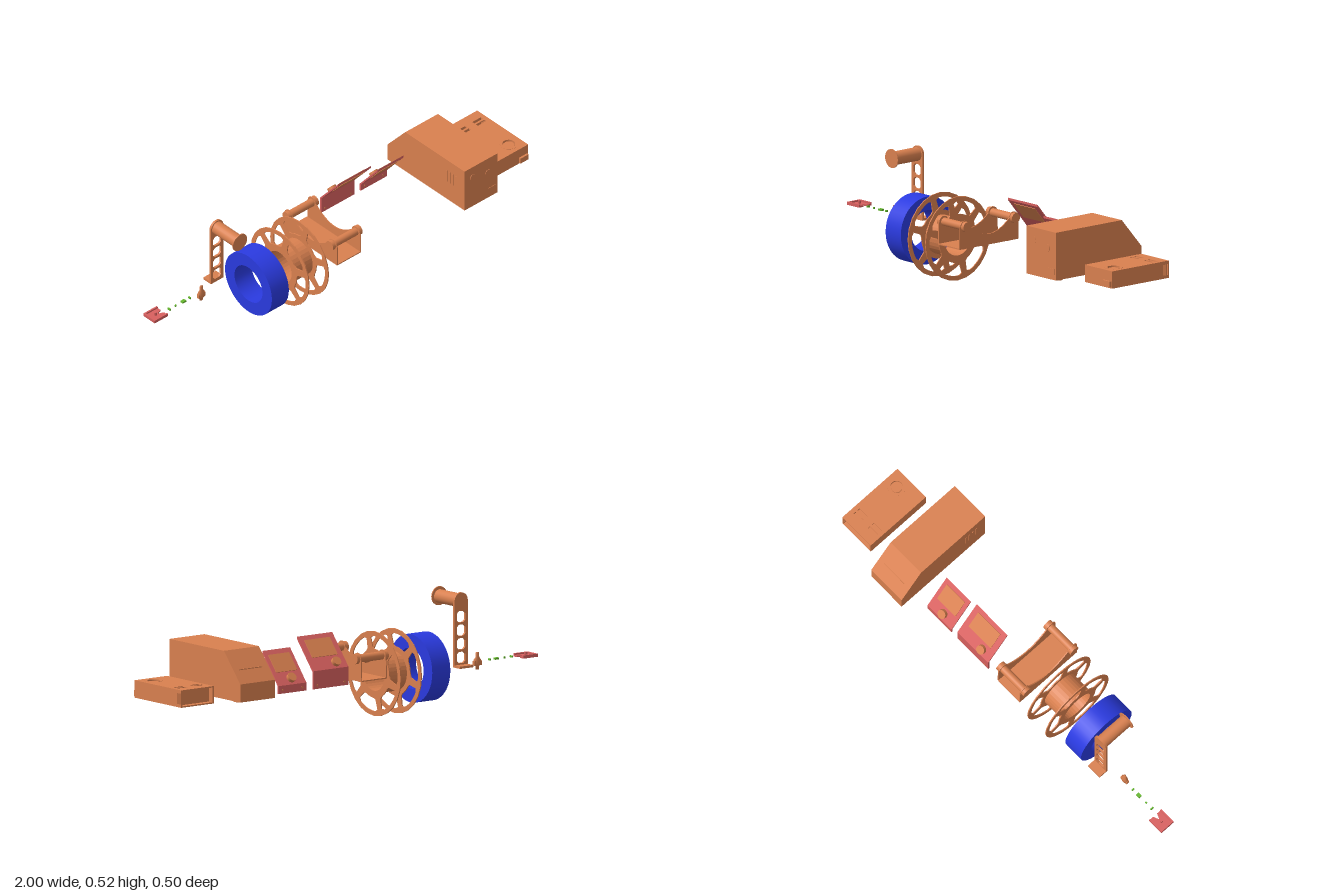
import * as THREE from 'three';

const paint = (c) => new THREE.MeshStandardMaterial({ color: c, side: THREE.DoubleSide });
const ORANGE = paint(0xd9804f), PINK = paint(0xd8605f), BLUE = paint(0x2a3ae0), GREEN = paint(0x66b82e);
const outline = (pts) => new THREE.Shape(pts.map(([a, b]) => new THREE.Vector2(a, b)));
const rect = (a, b, w, h) => outline([[a - w / 2, b - h / 2], [a + w / 2, b - h / 2], [a + w / 2, b + h / 2], [a - w / 2, b + h / 2]]);
const disc = (a, b, r) => new THREE.Shape().absarc(a, b, r, 0, Math.PI * 2);

export function createModel() {
  const root = new THREE.Group();
  const group = (name, parent = root) => { const g = new THREE.Group(); g.name = name; parent.add(g); return g; };
  const add = (parent, name, geo, mat, x = 0, y = 0, z = 0) => {
    const m = new THREE.Mesh(geo, mat);
    m.name = name; m.position.set(x, y, z); parent.add(m);
    return m;
  };
  const box = (p, name, mat, [x0, x1], [y0, y1], [z0, z1]) =>
    add(p, name, new THREE.BoxGeometry(x1 - x0, y1 - y0, z1 - z0), mat, (x0 + x1) / 2, (y0 + y1) / 2, (z0 + z1) / 2);
  const slab = (shape, depth) => new THREE.ExtrudeGeometry(shape, { depth, bevelEnabled: false, curveSegments: 16 });
  // profile drawn in (z, y), swept from x0 to x1
  const sideSlab = (p, name, mat, shape, x0, x1) => add(p, name, slab(shape, x1 - x0).rotateY(-Math.PI / 2), mat, x1);
  // plan drawn in (x, z), swept from y0 to y1
  const flatSlab = (p, name, mat, shape, y0, y1) => add(p, name, slab(shape, y1 - y0).rotateX(Math.PI / 2), mat, 0, y1);
  const rod = (p, name, mat, axis, r, len, x, y, z, n = 24) => {
    const g = new THREE.CylinderGeometry(r, r, len, n);
    if (axis === 'x') g.rotateZ(Math.PI / 2);
    if (axis === 'z') g.rotateX(Math.PI / 2);
    return add(p, name, g, mat, x, y, z);
  };
  const holed = (shape, holes) => { shape.holes.push(...holes); return shape; };

  // low case with fan opening, vents and recessed back
  const low = group('lowCase');
  const vents = [];
  for (const x of [0.858, 0.95]) for (const z of [-0.118, -0.095]) vents.push(rect(x, z, 0.05, 0.013));
  flatSlab(low, 'lowCaseTop', ORANGE, holed(rect(0.906, -0.007, 0.18, 0.328), [disc(0.937, 0.097, 0.034), ...vents]), 0.259, 0.265);
  flatSlab(low, 'fanRing', ORANGE, holed(disc(0.937, 0.097, 0.04), [disc(0.937, 0.097, 0.028)]), 0.255, 0.266);
  rod(low, 'fanHub', ORANGE, 'y', 0.024, 0.006, 0.937, 0.257, 0.097);
  const slots = [0, 1, 2].map((i) => rect(-0.144 - i * 0.0095, 0.226, 0.005, 0.048));
  sideSlab(low, 'ventedSide', ORANGE, holed(rect(-0.007, 0.226, 0.328, 0.076), slots), 0.99, 0.996);
  box(low, 'plainSide', ORANGE, [0.816, 0.822], [0.188, 0.264], [-0.171, 0.157]);
  box(low, 'lowCaseFloor', ORANGE, [0.82, 0.992], [0.188, 0.194], [-0.171, 0.155]);
  box(low, 'lowCaseFront', ORANGE, [0.82, 0.992], [0.188, 0.262], [0.151, 0.157]);
  box(low, 'recessedBack', ORANGE, [0.82, 0.992], [0.19, 0.262], [-0.145, -0.14]);
  box(low, 'frontPort', ORANGE, [0.942, 0.99], [0.193, 0.22], [0.155, 0.167]);

  // tall case with sloping back
  const tall = group('tallCase');
  sideSlab(tall, 'tallCaseBody', ORANGE, outline([[0.249, 0.193], [0.249, 0.406], [-0.133, 0.406], [-0.248, 0.273], [-0.248, 0.193]]), 0.537, 0.73);
  rod(tall, 'frontDial', ORANGE, 'z', 0.016, 0.004, 0.585, 0.35, 0.249);
  rod(tall, 'frontDial', ORANGE, 'z', 0.016, 0.004, 0.676, 0.33, 0.249);
  box(tall, 'frontSocket', ORANGE, [0.677, 0.72], [0.217, 0.243], [0.247, 0.251]);
  box(tall, 'rearSlot', ORANGE, [0.57, 0.7], [0.325, 0.33], [-0.202, -0.195]);
  for (let i = 0; i < 4; i++) box(tall, 'sideVent', ORANGE, [0.535, 0.54], [0.29, 0.35], [0.13 + i * 0.02, 0.138 + i * 0.02]);
  for (const x of [0.565, 0.705]) for (const z of [0.212, -0.198]) rod(tall, 'foot', ORANGE, 'y', 0.018, 0.006, x, 0.191, z);

  // bent control panels with screen and knob
  const panel = (name, x0, x1, top, bend, screenW, knobX) => {
    const g = group(name);
    sideSlab(g, name + 'Sheet', PINK, outline([[-0.055, top], [-0.17, bend], [-0.17, 0.19], [-0.163, 0.19],
      [-0.163, bend - 0.002], [-0.055, top - 0.01]]), x0, x1);
    const slope = group(name + 'Slope', g);
    slope.position.set((x0 + x1) / 2, (top + bend) / 2, -0.1125);
    slope.rotation.x = -Math.atan2(top - bend, 0.115);
    add(slope, 'screen', new THREE.BoxGeometry(screenW, 0.012, 0.09), ORANGE, 0, -0.003, 0.021);
    rod(slope, 'knob', ORANGE, 'y', 0.021, 0.016, knobX - (x0 + x1) / 2, 0.008, -0.06);
    for (const x of [x0 + 0.022, x1 - 0.022]) rod(g, 'screw', ORANGE, 'z', 0.005, 0.009, x, 0.206, -0.1665, 10);
  };
  panel('widePanel', 0.07, 0.265, 0.407, 0.27, 0.14, 0.128);
  panel('narrowPanel', 0.303, 0.456, 0.365, 0.225, 0.115, 0.375);

  // roller cradle
  const cradle = group('rollerCradle');
  const cheek = new THREE.Shape();
  cheek.moveTo(-0.176, 0.197);
  cheek.lineTo(0.166, 0.197);
  cheek.lineTo(0.166, 0.295);
  cheek.absarc(0.137, 0.294, 0.026, 0, Math.PI, false);
  cheek.quadraticCurveTo(-0.005, 0.19, -0.121, 0.294);
  cheek.absarc(-0.147, 0.294, 0.026, 0, Math.PI, false);
  cheek.lineTo(-0.176, 0.197);
  for (const x of [-0.138, -0.001]) sideSlab(cradle, 'cheek', ORANGE, cheek, x, x + 0.005);
  box(cradle, 'cradleFloor', ORANGE, [-0.138, 0.004], [0.195, 0.2], [-0.176, 0.166]);
  for (const z of [0.135, -0.146]) {
    rod(cradle, 'roller', ORANGE, 'x', 0.018, 0.14, -0.067, 0.294, z);
    for (const x of [-0.145, 0.011]) rod(cradle, 'rollerCap', ORANGE, 'x', 0.023, 0.018, x, 0.294, z);
    for (const x of [-0.105, -0.03]) rod(cradle, 'cradleFoot', ORANGE, 'y', 0.014, 0.009, x, 0.1925, z * 0.9, 16);
  }

  // spool: two windowed flanges on a hollow hub
  const spool = group('spool');
  const CY = 0.187, CZ = -0.004, D = Math.PI / 180;
  const polar = (r, a) => [CZ + r * Math.cos(a), CY + r * Math.sin(a)];
  const wheel = outline(Array.from({ length: 24 }, (_, i) => polar(0.187, i * 15 * D)));
  wheel.holes.push(disc(CZ, CY, 0.076));
  for (let k = 0; k < 6; k++) {
    const mid = (46 + k * 60) * D, pts = [];
    for (let i = -4; i <= 4; i++) pts.push(polar(Math.abs(i) === 4 ? 0.158 : 0.166, mid + i * 6.2 * D));
    for (let i = 3; i >= -3; i--) pts.push(polar(Math.abs(i) === 3 ? 0.115 : 0.108, mid + i * 7 * D));
    wheel.holes.push(outline(pts));
  }
  for (const x of [-0.32, -0.206]) sideSlab(spool, 'flange', ORANGE, wheel, x, x + 0.005);
  sideSlab(spool, 'hub', ORANGE, holed(disc(CZ, CY, 0.087), [disc(CZ, CY, 0.076)]), -0.317, -0.203);

  // coil of filament
  const v = (r, h) => new THREE.Vector2(r, h);
  const ring = [[0.09, -0.05], [0.151, -0.05], [0.151, -0.05], [0.151, 0.05], [0.151, 0.05], [0.09, 0.05], [0.09, 0.05], [0.09, -0.05]];
  add(root, 'filamentCoil', new THREE.LatheGeometry(ring.map(([r, h]) => v(r, h)), 40).rotateZ(Math.PI / 2), BLUE, -0.455, 0.188, CZ);

  // ladder arm with spool peg
  const arm = group('spoolArm');
  const post = new THREE.Shape();
  post.moveTo(-0.628, 0.19);
  post.lineTo(-0.555, 0.19);
  post.lineTo(-0.555, 0.485);
  post.absarc(-0.5915, 0.482, 0.0365, 0, Math.PI, false);
  for (let i = 0; i < 4; i++) {
    const y = 0.232 + i * 0.06, w = 0.024, h = 0.025, c = 0.011;
    post.holes.push(outline([[-w, -h + c], [-w + c, -h], [w - c, -h], [w, -h + c], [w, h - c], [w - c, h], [c - w, h], [-w, h - c]]
      .map(([a, b]) => [a - 0.5915, b + y])));
  }
  add(arm, 'ladderPost', slab(post, 0.01), ORANGE, 0, 0, -0.121);
  box(arm, 'armFoot', ORANGE, [-0.628, -0.555], [0.19, 0.2], [-0.16, -0.112]);
  rod(arm, 'peg', ORANGE, 'z', 0.03, 0.148, -0.5915, 0.482, -0.04);
  rod(arm, 'pegCap', ORANGE, 'z', 0.042, 0.005, -0.5915, 0.483, 0.034);

  // small filament guide
  const guide = group('filamentGuide');
  const gp = [[0, 0.162], [0.009, 0.162], [0.009, 0.178], [0.018, 0.18], [0.018, 0.205], [0.01, 0.215], [0.008, 0.237], [0, 0.237]];
  add(guide, 'guideBody', new THREE.LatheGeometry(gp.map(([r, h]) => v(r, h)), 16).scale(1, 1, 0.6), ORANGE, -0.709, 0, -0.085);
  box(guide, 'guideWing', ORANGE, [-0.729, -0.689], [0.18, 0.2], [-0.092, -0.078]);

  // row of tiny switch parts
  const bits = group('switchParts');
  for (const [x, w, d] of [[-0.89, 0.006, 0.016], [-0.853, 0.008, 0.006], [-0.807, 0.02, 0.015], [-0.77, 0.006, 0.012]])
    box(bits, 'switchPart', GREEN, [x - w / 2, x + w / 2], [0.196, 0.204], [-0.093 - d / 2, -0.093 + d / 2]);

  // small switch holder
  const holder = group('switchHolder');
  flatSlab(holder, 'holderPlate', PINK, outline([[-1, -0.14], [-0.922, -0.14], [-0.922, -0.115], [-0.95, -0.104], [-0.922, -0.092],
    [-0.922, -0.067], [-1, -0.067]]), 0.193, 0.2);
  for (const z of [-0.14, -0.075]) box(holder, 'holderRail', PINK, [-1, -0.922], [0.198, 0.207], [z, z + 0.008]);
  box(holder, 'holderBack', PINK, [-1, -0.992], [0.198, 0.207], [-0.14, -0.067]);
  rod(holder, 'holderPin', PINK, 'y', 0.007, 0.016, -0.962, 0.206, -0.104, 12);

  return root;
}
